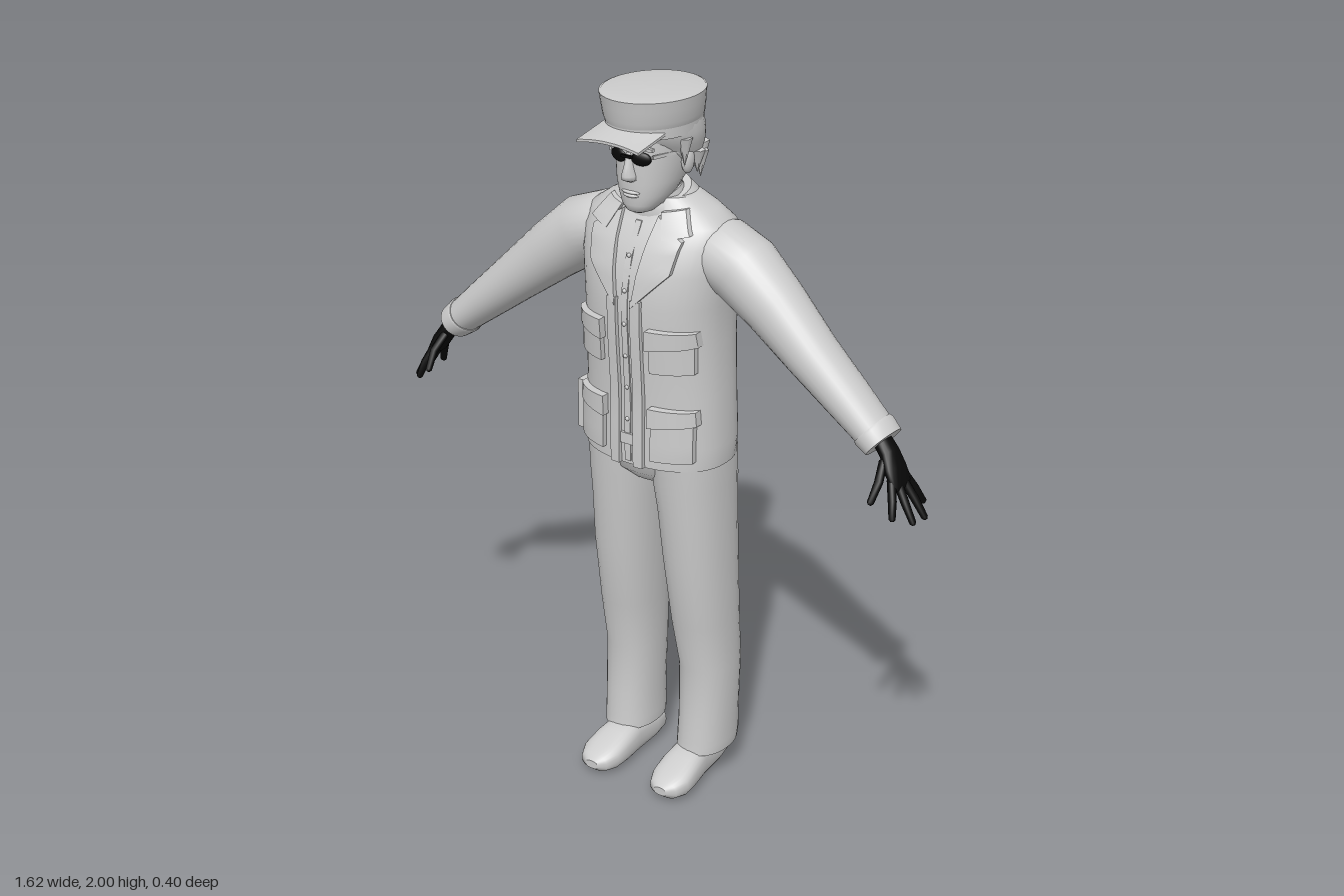
import * as THREE from 'three';

const V = (x, y, z) => new THREE.Vector3(x, y, z);
const X = V(1, 0, 0), Y = V(0, 1, 0), Z = V(0, 0, 1);

// Skin a row of superellipse sections [cx, cy, cz, ru, rv]; without dir they follow the path.
function loft(secs, { hint = X, dir = null, n = 2, segs = 28 } = {}) {
  const pos = [], idx = [], C = secs.map(s => V(s[0], s[1], s[2]));
  const pw = t => Math.sign(t) * Math.pow(Math.abs(t), 2 / n);
  secs.forEach((s, i) => {
    const d = dir ? dir.clone()
      : C[Math.min(i + 1, C.length - 1)].clone().sub(C[Math.max(i - 1, 0)]).normalize();
    const u = hint.clone().addScaledVector(d, -hint.dot(d)).normalize();
    const v = u.clone().cross(d);
    for (let j = 0; j < segs; j++) {
      const a = j / segs * Math.PI * 2;
      const p = C[i].clone().addScaledVector(u, s[3] * pw(Math.cos(a))).addScaledVector(v, s[4] * pw(Math.sin(a)));
      pos.push(p.x, p.y, p.z);
    }
  });
  for (let i = 0; i < secs.length - 1; i++) {
    for (let j = 0; j < segs; j++) {
      const k = (j + 1) % segs, a = i * segs + j, b = i * segs + k;
      idx.push(a, a + segs, b, b, a + segs, b + segs);
    }
  }
  // end caps with their own vertices, so the rims stay sharp
  for (const end of [0, secs.length - 1]) {
    const base = pos.length / 3;
    for (let j = 0; j < segs * 3; j++) pos.push(pos[end * segs * 3 + j]);
    pos.push(C[end].x, C[end].y, C[end].z);
    for (let j = 0; j < segs; j++) {
      const a = base + j, b = base + (j + 1) % segs;
      if (end) idx.push(base + segs, b, a); else idx.push(base + segs, a, b);
    }
  }
  const g = new THREE.BufferGeometry();
  g.setAttribute('position', new THREE.Float32BufferAttribute(pos, 3));
  g.setIndex(idx);
  g.computeVertexNormals();
  return g;
}

// Move every vertex of a geometry by a rule
function bend(g, rule) {
  const p = g.attributes.position;
  for (let i = 0; i < p.count; i++) {
    const q = rule(p.getX(i), p.getY(i), p.getZ(i));
    p.setXYZ(i, q[0], q[1], q[2]);
  }
  g.computeVertexNormals();
  return g;
}

// Jacket body sections, bottom to top
const torso = [
  [0, 1.0, -.033, .208, .15], [0, 1.06, -.035, .212, .153], [0, 1.2, -.036, .205, .152],
  [0, 1.35, -.033, .2, .16], [0, 1.45, -.033, .202, .165], [0, 1.54, -.037, .214, .158],
  [0, 1.61, -.042, .22, .138], [0, 1.655, -.045, .205, .112], [0, 1.69, -.045, .155, .09],
  [0, 1.72, -.037, .1, .075],
];
const torsoN = 2.3;

// Depth of the jacket front at x, y
function frontZ(x, y) {
  let i = 0;
  while (i < torso.length - 2 && y > torso[i + 1][1]) i++;
  const a = torso[i], b = torso[i + 1];
  const t = THREE.MathUtils.clamp((y - a[1]) / (b[1] - a[1]), 0, 1);
  const [cz, rx, rz] = [2, 3, 4].map(k => a[k] + (b[k] - a[k]) * t);
  return cz + rz * Math.pow(Math.max(0, 1 - Math.pow(Math.abs(x) / rx, torsoN)), 1 / torsoN);
}

// Cloth panel lying on the jacket front; corners BL, BR, TR, TL for the +x side
function panel(c, thick, s = 1) {
  const q = s > 0 ? c : [c[1], c[0], c[3], c[2]].map(p => [-p[0], p[1]]);
  return bend(new THREE.BoxGeometry(1, 1, 1, 8, 8, 1), (x, y, z) => {
    const u = x + .5, v = y + .5;
    const at = k => (q[0][k] * (1 - u) + q[1][k] * u) * (1 - v) + (q[3][k] * (1 - u) + q[2][k] * u) * v;
    const px = at(0), py = at(1);
    return [px, py, frontZ(px, py) + (z > 0 ? thick : -.012)];
  });
}
const rect = (x0, x1, y0, y1) => [[x0, y0], [x1, y0], [x1, y1], [x0, y1]];

export function createModel() {
  const model = new THREE.Group();
  const grey = new THREE.MeshStandardMaterial({ color: 0xcccccc });
  grey.name = 'light grey';
  const black = new THREE.MeshStandardMaterial({ color: 0x080808 });
  black.name = 'black';
  const add = (name, geo, mat = grey, pos = null) => {
    const m = new THREE.Mesh(geo, mat);
    m.name = name;
    if (pos) m.position.set(...pos);
    model.add(m);
    return m;
  };
  const upright = { dir: Y };

  // Jacket body, collars and trouser seat
  add('jacketBody', loft(torso, { dir: Y, n: torsoN, segs: 48 }));
  add('jacketCollar', loft([[0, 1.655, -.042, .13, .098], [0, 1.7, -.03, .108, .092], [0, 1.725, -.023, .084, .08]]));
  add('shirtCollar', loft([[0, 1.68, -.02, .082, .078], [0, 1.735, -.008, .066, .07]]));
  add('trouserSeat', loft([[0, .925, -.045, .1, .09], [0, .96, -.042, .17, .125], [0, 1.02, -.04, .2, .135]], upright));
  add('shirtPlacket', panel(rect(-.009, .009, 1.01, 1.66), .004));
  for (let i = 0; i < 6; i++) {
    const y = 1.13 + i * .09;
    add('shirtButton', new THREE.SphereGeometry(.006, 10, 8), grey, [0, y, frontZ(0, y) + .004]);
  }
  add('beltBuckle', panel(rect(-.02, .02, 1.06, 1.09), .008));
  add('sidePouch', new THREE.BoxGeometry(.04, .14, .075), grey, [-.224, 1.07, -.03]);

  for (const s of [1, -1]) {
    const side = s > 0 ? 'left' : 'right';
    const mx = list => list.map(p => [p[0] * s, ...p.slice(1)]);

    // Jacket front: edge strip, lapel, collar wing and pockets
    add(side + 'FrontEdge', panel(rect(.022, .05, 1.0, 1.47), .012, s));
    add(side + 'Lapel', panel([[.024, 1.45], [.122, 1.55], [.135, 1.63], [.055, 1.68]], .013, s));
    add(side + 'CollarWing', panel([[.085, 1.63], [.15, 1.645], [.115, 1.70], [.06, 1.69]], .016, s));
    for (const [y0, y1, name] of [[1.03, 1.16, 'LowerPocket'], [1.28, 1.38, 'ChestPocket']]) {
      add(side + name, panel(rect(.075, .175, y0, y1), .016, s));
      add(side + name + 'Flap', panel([[.068, y1 - .035], [.183, y1 - .025], [.18, y1 + .015], [.07, y1 + .02]], .023, s));
    }

    // Sleeve and cuff
    add(side + 'Sleeve', loft(mx([
      [.1, 1.585, -.05, .09, .07], [.18, 1.58, -.048, .1, .088], [.25, 1.55, -.042, .095, .094],
      [.35, 1.472, -.036, .083, .083], [.465, 1.375, -.026, .073, .069], [.57, 1.287, -.024, .067, .058],
      [.64, 1.228, -.022, .062, .05], [.677, 1.198, -.02, .058, .045],
    ]), { hint: Z }));
    add(side + 'Cuff', loft(mx([
      [.645, 1.224, -.022, .064, .051], [.652, 1.218, -.022, .067, .054], [.68, 1.195, -.02, .063, .049],
    ]), { hint: Z }));

    // Hand: palm and five fingers
    add(side + 'Palm', loft(mx([
      [.665, 1.215, -.018, .028, .022], [.7, 1.175, -.015, .032, .022], [.722, 1.14, -.008, .042, .021],
      [.742, 1.105, -.006, .042, .016], [.748, 1.094, -.006, .03, .008],
    ]), { hint: Z, segs: 16 }), black);
    const fingers = [
      ['Thumb', [.7, 1.16, .012], [.71, 1.12, .05], [.706, 1.075, .08]],
      ['IndexFinger', [.73, 1.12, .022], [.748, 1.075, .045], [.758, 1.035, .06]],
      ['MiddleFinger', [.735, 1.115, .004], [.768, 1.065, .015], [.795, 1.02, .02]],
      ['RingFinger', [.738, 1.115, -.016], [.774, 1.065, -.022], [.803, 1.02, -.025]],
      ['LittleFinger', [.735, 1.12, -.032], [.758, 1.078, -.05], [.775, 1.04, -.066]],
    ];
    for (const [name, a, b, c] of fingers) {
      const tip = c.map((v, i) => v + (c[i] - b[i]) * .12);
      add(side + name, loft(mx([[...a, .012, .012], [...b, .0115, .0115], [...c, .009, .009], [...tip, .004, .004]]),
        { hint: Z, segs: 10 }), black);
    }

    // Trouser leg
    add(side + 'TrouserLeg', loft(mx([
      [.122, .09, -.085, .073, .1], [.123, .12, -.088, .075, .099], [.124, .2, -.09, .074, .096],
      [.123, .35, -.095, .077, .095], [.118, .5, -.077, .082, .108], [.113, .7, -.058, .089, .119],
      [.107, .85, -.05, .094, .125], [.103, .93, -.045, .1, .13], [.1, 1.02, -.04, .102, .133],
    ]), { dir: Y, n: 2.2 }));

    // Shoe
    add(side + 'Shoe', loft(mx([
      [.108, .05, -.17, .02, .015], [.108, .047, -.158, .04, .033], [.109, .052, -.11, .048, .048],
      [.112, .055, -.02, .053, .055], [.115, .047, .04, .06, .047], [.118, .038, .09, .06, .036],
      [.118, .033, .125, .044, .025], [.117, .032, .14, .02, .012],
    ]), { dir: Z, n: 2.6 }));

    // Ear, sideburn and eyewear halves
    add(side + 'Ear', new THREE.SphereGeometry(1, 14, 10).scale(.014, .034, .022), grey, [s * .094, 1.815, -.012]);
    add(side + 'Sideburn', new THREE.ConeGeometry(.02, .075, 6).rotateX(Math.PI), grey, [s * .103, 1.845, .015]);
    const lens = add(side + 'Lens', new THREE.SphereGeometry(1, 20, 12).scale(.027, .018, .009), black, [s * .034, 1.838, .104]);
    lens.rotation.y = s * .25;
    const temple = add(side + 'Temple', new THREE.BoxGeometry(.005, .009, .11), grey, [s * .08, 1.845, .045]);
    temple.rotation.y = -s * .3;
  }

  // Neck, head and face
  add('neck', loft([[0, 1.66, -.02, .064, .068], [0, 1.72, -.017, .06, .066], [0, 1.8, -.017, .06, .066]], upright));
  add('head', loft([
    [0, 1.685, .06, .018, .022], [0, 1.692, .056, .035, .04], [0, 1.71, .043, .053, .06],
    [0, 1.735, .026, .068, .079], [0, 1.77, .01, .08, .099], [0, 1.82, -.004, .087, .113],
    [0, 1.87, -.008, .091, .121], [0, 1.93, -.01, .087, .12],
  ], { dir: Y, n: 2.15 }));
  add('nose', loft([
    [0, 1.774, .1, .012, .012], [0, 1.781, .104, .021, .024], [0, 1.792, .104, .02, .028],
    [0, 1.815, .104, .013, .021], [0, 1.852, .1, .009, .014],
  ], { dir: Y, segs: 14 }));
  for (const [y, r] of [[1.746, .028], [1.737, .024]])
    add('lip', new THREE.SphereGeometry(1, 16, 8).scale(r, .006, .012), grey, [0, y, .1]);
  add('glassesBridge', new THREE.BoxGeometry(.03, .007, .008), black, [0, 1.843, .119]);
  add('browBar', new THREE.BoxGeometry(.14, .008, .012), grey, [0, 1.866, .104]);

  // Hair with a ragged hem
  add('hair', loft([
    [0, 1.755, -.058, .05, .03], [0, 1.785, -.052, .083, .07], [0, 1.82, -.042, .1, .092],
    [0, 1.86, -.028, .113, .114], [0, 1.89, -.015, .117, .128], [0, 1.92, -.008, .113, .132],
  ], upright));
  for (let i = 0; i < 13; i++) {
    const a = i / 12 * Math.PI;
    add('hairTuft', new THREE.ConeGeometry(.021, .06 + (i % 3) * .012, 6).rotateX(Math.PI), grey,
      [.1 * Math.cos(a), 1.805 - (i % 2) * .012, -.045 - .078 * Math.sin(a)]);
  }

  // Cap: band, flared crown and arched peak
  add('capBand', loft([[0, 1.893, -.003, .114, .141], [0, 1.932, -.002, .115, .142]], { dir: Y, segs: 40 }));
  add('capCrown', loft([
    [0, 1.92, -.002, .115, .142], [0, 1.935, 0, .12, .145], [0, 1.965, .003, .124, .147],
    [0, 1.992, .005, .127, .15],
  ], { dir: Y, segs: 40 }));
  add('capTop', loft([
    [0, 1.99, .005, .126, .149], [0, 1.994, .005, .122, .145], [0, 1.998, .005, .08, .095], [0, 2, .005, .02, .024],
  ], { dir: Y, segs: 40 }));
  add('capPeak', bend(new THREE.BoxGeometry(1, 1, 1, 12, 1, 5), (x, y, z) => {
    const t = z + .5;
    return [x * .186, 1.924 - .026 * t - .07 * x * x * (1 - .4 * t) + y * .007, .085 + .115 * t];
  }));

  return model;
}
